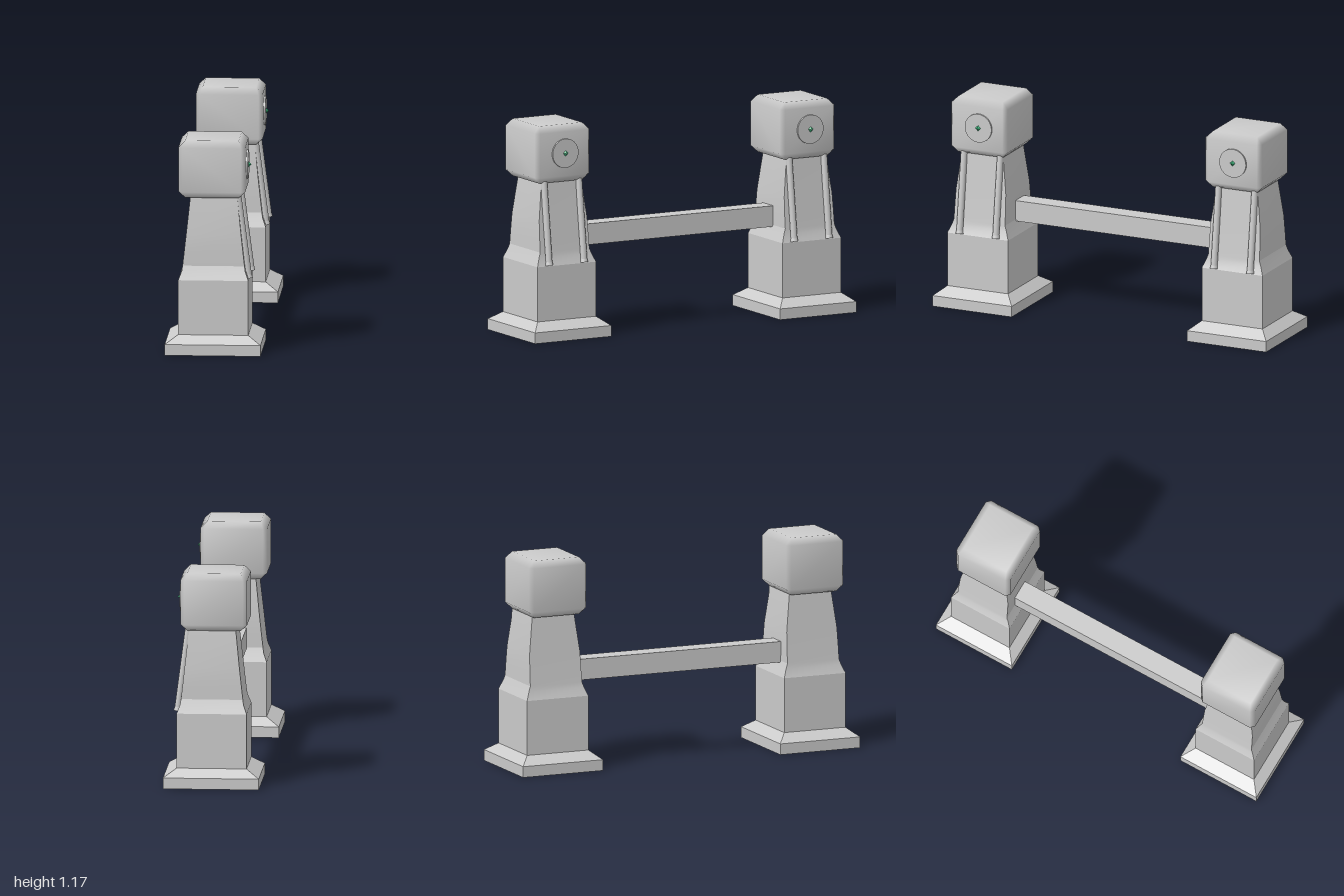
import * as THREE from 'three';
import { mergeVertices, toCreasedNormals } from 'three/addons/utils/BufferGeometryUtils.js';
import { ConvexGeometry } from 'three/addons/geometries/ConvexGeometry.js';

const grey = new THREE.MeshStandardMaterial({ color: 0xcccccc });
const green = new THREE.MeshStandardMaterial({ color: 0x3fb67f });

function part(name, geometry, parent, x = 0, y = 0, z = 0, material = grey) {
  const mesh = new THREE.Mesh(geometry, material);
  mesh.name = name;
  mesh.position.set(x, y, z);
  parent.add(mesh);
  return mesh;
}

// Closed rectangular loft through levels of [y, half width, half depth]
function rectLoft(levels) {
  const pos = [];
  const rings = levels.map(([y, w, d]) => [[w, y, d], [w, y, -d], [-w, y, -d], [-w, y, d]]);
  const quad = (a, b, c, d) => pos.push(...a, ...b, ...c, ...a, ...c, ...d);
  for (let i = 0; i < rings.length - 1; i++) {
    for (let k = 0; k < 4; k++) {
      const n = (k + 1) % 4;
      quad(rings[i][k], rings[i][n], rings[i + 1][n], rings[i + 1][k]);
    }
  }
  const bottom = rings[0], top = rings[rings.length - 1];
  quad(bottom[3], bottom[2], bottom[1], bottom[0]);
  quad(...top);
  const g = new THREE.BufferGeometry();
  g.setAttribute('position', new THREE.Float32BufferAttribute(pos, 3));
  return toCreasedNormals(g, 0.3);
}

// Box with chamfered edges and softened normals
function softBox(w, h, d, c, v) {
  const x = w / 2, y = h / 2, z = d / 2, points = [];
  for (const sx of [-1, 1]) for (const sy of [-1, 1]) for (const sz of [-1, 1]) {
    const add = (a, b, e) => points.push(new THREE.Vector3(a * sx, b * sy, e * sz));
    add(x, y - c, z - v);
    add(x - v, y - c, z);
    add(x - c, y, z - c);
  }
  let g = new ConvexGeometry(points);
  g.deleteAttribute('normal');
  g = mergeVertices(g);
  g.computeVertexNormals();
  return g;
}

// Round bar between two points
function bar(name, from, to, r0, r1, parent) {
  const dir = to.clone().sub(from);
  const mid = from.clone().add(to).multiplyScalar(0.5);
  const mesh = part(name, new THREE.CylinderGeometry(r1, r0, dir.length(), 16), parent, mid.x, mid.y, mid.z);
  mesh.quaternion.setFromUnitVectors(new THREE.Vector3(0, 1, 0), dir.normalize());
}

function tower() {
  const g = new THREE.Group();
  g.name = 'tower';
  part('base', rectLoft([[0, 0.26, 0.237], [0.06, 0.26, 0.237], [0.105, 0.19, 0.182]]), g);
  part('pillar', rectLoft([
    [0.1, 0.19, 0.182], [0.405, 0.19, 0.182], [0.452, 0.172, 0.163], [0.48, 0.168, 0.153],
    [0.55, 0.16, 0.152], [0.65, 0.149, 0.149], [0.87, 0.126, 0.122],
  ]), g);
  part('head', softBox(0.362, 0.315, 0.339, 0.036, 0.022), g, -0.009, 1.011, 0.008);

  // Lamp on the side of the head
  part('lampDisc', new THREE.CylinderGeometry(0.08, 0.08, 0.03, 32), g, 0.166, 1.015, 0.002).rotation.z = -Math.PI / 2;
  part('lampGem', new THREE.OctahedronGeometry(0.025), g, 0.172, 1.015, 0.002, green);

  // Pair of slanted pipes with slightly wider feet
  for (const z of [-0.108, 0.109]) {
    bar('pipe', new THREE.Vector3(0.188, 0.42, z), new THREE.Vector3(0.13, 0.865, z), 0.018, 0.018, g);
    bar('pipeFoot', new THREE.Vector3(0.189, 0.409, z), new THREE.Vector3(0.186, 0.43, z), 0.022, 0.018, g);
  }
  return g;
}

export function createModel() {
  const model = new THREE.Group();
  model.name = 'gate';
  for (const z of [-0.763, 0.763]) {
    const t = tower();
    t.position.z = z;
    model.add(t);
  }
  // Beam joining the two towers
  part('beam', new THREE.BoxGeometry(0.11, 0.115, 1.24), model, -0.023, 0.528, 0);
  return model;
}
